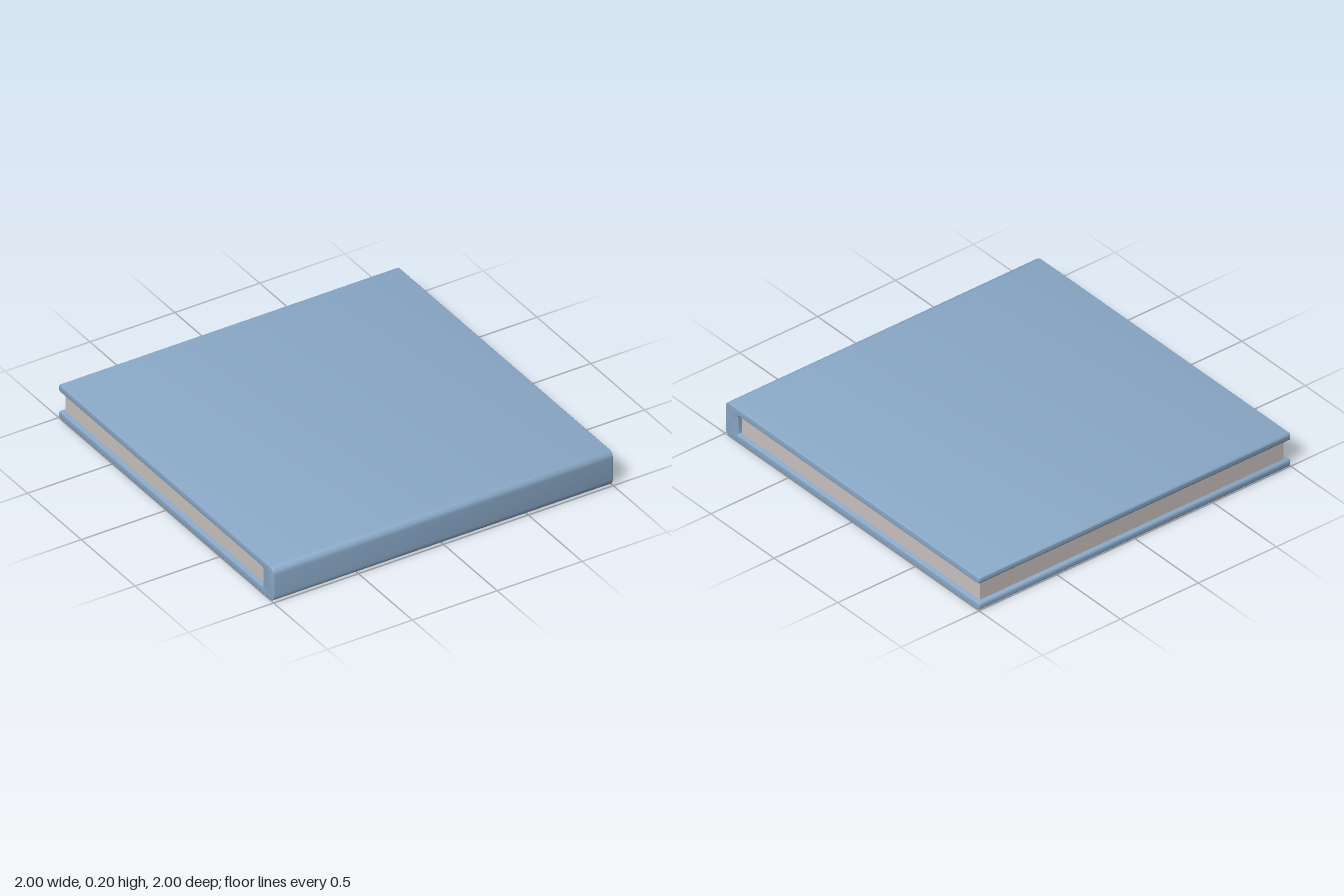
import * as THREE from 'three';
import { toCreasedNormals } from 'three/addons/utils/BufferGeometryUtils.js';

const HEIGHT = 0.2;
const BOARD = 0.042; // thickness of each cover board
const SPINE = 0.1; // depth of the spine
const BEVEL = 0.006;

// Closed outline from [z, y, radius] corners, each corner rounded
function roundedShape(corners) {
  const shape = new THREE.Shape();
  const n = corners.length;
  corners.forEach(([z, y, r], i) => {
    const corner = new THREE.Vector2(z, y);
    const toward = ([a, b]) => new THREE.Vector2(a, b).sub(corner).setLength(r).add(corner);
    const start = toward(corners[(i + n - 1) % n]);
    const end = toward(corners[(i + 1) % n]);
    if (i === 0) shape.moveTo(start.x, start.y);
    else shape.lineTo(start.x, start.y);
    shape.quadraticCurveTo(z, y, end.x, end.y);
  });
  shape.closePath();
  return shape;
}

export function createModel() {
  const coverBlue = new THREE.MeshStandardMaterial({ color: 0x8aa9c8 });
  coverBlue.name = 'coverBlue';
  const paper = new THREE.MeshStandardMaterial({ color: 0xcbc3c0 });
  paper.name = 'paper';

  const book = new THREE.Group();
  book.name = 'book';

  // Cover: C-shaped section, spine at the front, open at the back
  const section = roundedShape([
    [-1, 0, 0.014],
    [1, 0, 0.04],
    [1, HEIGHT, 0.04],
    [-1, HEIGHT, 0.014],
    [-1, HEIGHT - BOARD, 0.014],
    [1 - SPINE, HEIGHT - BOARD, 0.012],
    [1 - SPINE, BOARD, 0.012],
    [-1, BOARD, 0.014],
  ]);
  const length = 2 - 2 * BEVEL;
  const coverGeometry = new THREE.ExtrudeGeometry(section, {
    depth: length,
    curveSegments: 8,
    bevelThickness: BEVEL,
    bevelSize: BEVEL,
    bevelOffset: -BEVEL,
    bevelSegments: 3,
  });
  coverGeometry.translate(0, 0, -length / 2).rotateY(-Math.PI / 2);
  const cover = new THREE.Mesh(toCreasedNormals(coverGeometry, 0.7), coverBlue);
  cover.name = 'cover';
  book.add(cover);

  // Page block, set back from the three open edges and sunk into the cover
  const back = -0.975;
  const front = 1 - SPINE + 0.01;
  const pages = new THREE.Mesh(
    new THREE.BoxGeometry(1.95, HEIGHT - 2 * BOARD + 0.01, front - back),
    paper
  );
  pages.name = 'pages';
  pages.position.set(0, HEIGHT / 2, (front + back) / 2);
  book.add(pages);

  return book;
}
